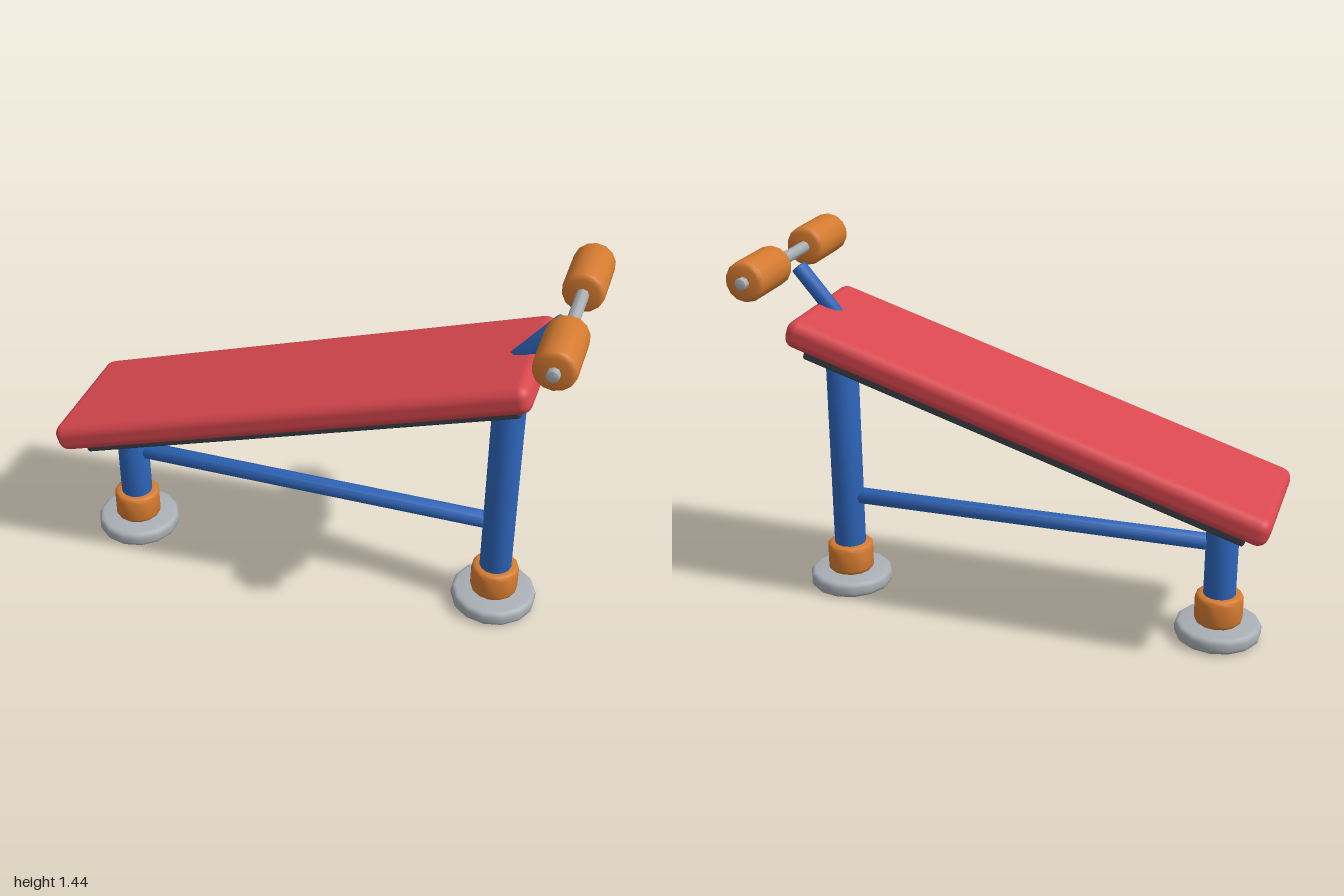
import * as THREE from 'three';
import { toCreasedNormals } from 'three/addons/utils/BufferGeometryUtils.js';
import { RoundedBoxGeometry } from 'three/addons/geometries/RoundedBoxGeometry.js';

const paint = (name, color) => {
  const m = new THREE.MeshStandardMaterial({ color });
  m.name = name;
  return m;
};

// Solid round bar along +y from 0 to length, with rounded rims
function roundBar(radius, length, bevel, sides) {
  const pts = [new THREE.Vector2(0, 0)];
  const steps = 3;
  for (let i = 0; i <= steps; i++) {
    const a = (i / steps) * Math.PI / 2;
    pts.push(new THREE.Vector2(radius - bevel + bevel * Math.sin(a), bevel - bevel * Math.cos(a)));
  }
  for (let i = 0; i <= steps; i++) {
    const a = (i / steps) * Math.PI / 2;
    pts.push(new THREE.Vector2(radius - bevel + bevel * Math.cos(a), length - bevel + bevel * Math.sin(a)));
  }
  pts.push(new THREE.Vector2(0, length));
  return toCreasedNormals(new THREE.LatheGeometry(pts, sides), 0.85);
}

export function createModel() {
  const red = paint('red cushion', 0xd9484f);
  const blue = paint('blue steel', 0x2d65ba);
  const orange = paint('orange foam', 0xd47a30);
  const grey = paint('light grey metal', 0xa9afb5);
  const dark = paint('dark board', 0x3a3f47);

  const model = new THREE.Group();
  model.name = 'inclineBench';

  const add = (name, geometry, material, parent = model) => {
    const mesh = new THREE.Mesh(geometry, material);
    mesh.name = name;
    parent.add(mesh);
    return mesh;
  };

  // Bar running between two points
  const barBetween = (name, from, to, radius, bevel, sides, material, parent) => {
    const a = new THREE.Vector3(...from);
    const dir = new THREE.Vector3(...to).sub(a);
    const mesh = add(name, roundBar(radius, dir.length(), bevel, sides), material, parent);
    mesh.position.copy(a);
    mesh.quaternion.setFromUnitVectors(new THREE.Vector3(0, 1, 0), dir.normalize());
    return mesh;
  };

  // Tilted cushion on its backing board
  const seat = new THREE.Group();
  seat.name = 'tiltedSeat';
  seat.position.set(-0.078, 0.851, 0);
  seat.rotation.z = THREE.MathUtils.degToRad(17.7);
  model.add(seat);
  add('cushion', new RoundedBoxGeometry(1.92, 0.11, 0.54, 3, 0.042), red, seat);
  add('backingBoard', new RoundedBoxGeometry(1.78, 0.058, 0.384, 2, 0.01), dark, seat)
    .position.y = -0.078;

  // Two posts, each with a foot disc and a collar
  for (const [name, x, top] of [['low', -0.79, 0.5], ['high', 0.725, 1.022]]) {
    const leg = new THREE.Group();
    leg.name = name + 'Leg';
    leg.position.x = x;
    model.add(leg);
    barBetween('post', [0, 0, 0], [0, top, 0], 0.0625, 0.018, 16, blue, leg);
    barBetween('footDisc', [0, 0.002, 0], [0, 0.065, 0], 0.166, 0.02, 14, grey, leg);
    barBetween('collar', [0, 0.065, 0], [0, 0.184, 0], 0.0925, 0.018, 14, orange, leg);
  }

  // Brace joining the posts
  barBetween('crossBrace', [-0.74, 0.392, 0], [0.675, 0.392, 0], 0.034, 0.01, 8, blue);

  // Arm, axle and foam rollers for the ankles
  barBetween('rollerArm', [0.705, 1.104, 0], [0.887, 1.322, 0], 0.032, 0.006, 8, blue);
  barBetween('rollerAxle', [0.922, 1.36, -0.41], [0.922, 1.36, 0.41], 0.0235, 0.004, 8, grey);
  for (const [name, z] of [['front', 0.13], ['back', -0.385]]) {
    barBetween(name + 'Roller', [0.922, 1.36, z], [0.922, 1.36, z + 0.255], 0.077, 0.02, 14, orange);
  }

  return model;
}
